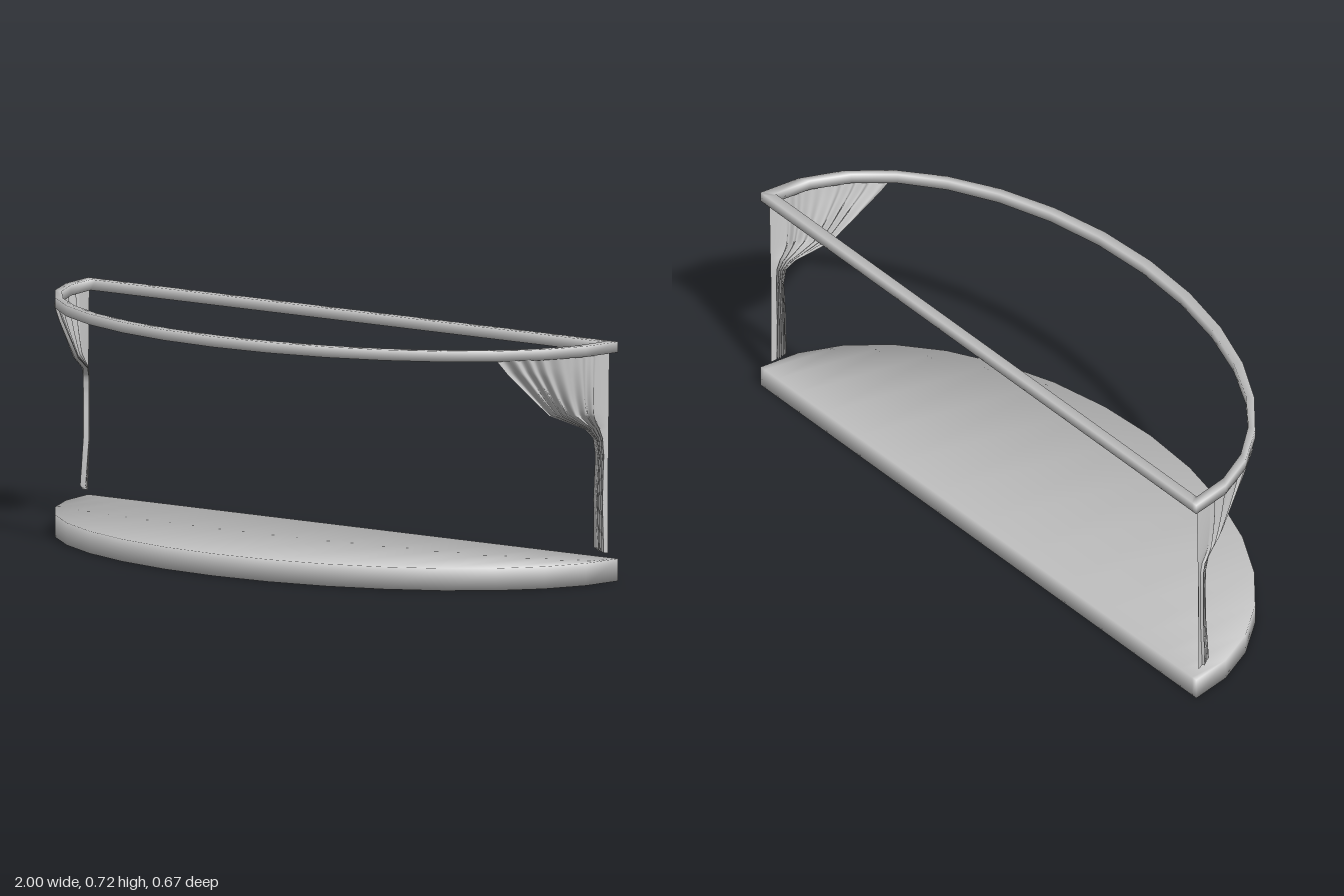
import * as THREE from 'three';

const SEG = 16; // segments along the curved front
const BACK = -0.333;

// Closed half-ellipse loop: curved front, then the straight back at the same x steps
function outline(rx, rz, back) {
  const loop = [];
  for (let i = 0; i < SEG * 2; i++) {
    const a = (i / SEG) * Math.PI;
    const x = rx * Math.cos(a);
    const front = i <= SEG;
    const n = front ? new THREE.Vector2(Math.cos(a) / rx, Math.sin(a) / rz) : new THREE.Vector2(0, -1);
    n.normalize();
    if (i % SEG === 0) n.set(Math.sign(x), -1).normalize(); // back corners
    loop.push({ x, z: front ? back + rz * Math.sin(a) : back, n });
  }
  return loop;
}

// Bands between stacked outlines, with normals shared softly across the edges.
// Each ring: { loop, y, out: +1 outer / -1 inner, up: +1 top / -1 bottom }
function bands(rings, closed, capped) {
  const count = SEG * 2, pos = [], nor = [], index = [];
  for (const { loop, y, out, up } of rings) {
    for (const p of loop) {
      const n = new THREE.Vector3(p.n.x * out, up, p.n.y * out).normalize();
      pos.push(p.x, y, p.z);
      nor.push(n.x, n.y, n.z);
    }
  }
  const quad = (a, b, c, d) => index.push(a, c, b, b, c, d);
  const steps = closed ? rings.length : rings.length - 1;
  for (let k = 0; k < steps; k++) {
    const r0 = k * count, r1 = ((k + 1) % rings.length) * count;
    for (let i = 0; i < count; i++) {
      const j = (i + 1) % count;
      quad(r0 + i, r0 + j, r1 + i, r1 + j);
    }
  }
  if (capped) {
    const top = (rings.length - 1) * count;
    for (let i = 0; i < SEG; i++) {
      const bi = (count - i) % count, bj = count - i - 1;
      quad(top + i, top + i + 1, top + bi, top + bj);
      quad(bi, bj, i, i + 1);
    }
  }
  const geo = new THREE.BufferGeometry();
  geo.setAttribute('position', new THREE.Float32BufferAttribute(pos, 3));
  geo.setAttribute('normal', new THREE.Float32BufferAttribute(nor, 3));
  geo.setIndex(index);
  return geo;
}

// Free edge of the tied-back curtain, from rail to hem: [y, x, z]
const FREE_EDGE = [
  [0.687, 0.83, 0.035], [0.645, 0.842, 0], [0.6, 0.858, -0.045], [0.555, 0.873, -0.09],
  [0.507, 0.892, -0.14], [0.485, 0.915, -0.19], [0.46, 0.942, -0.245], [0.43, 0.958, -0.269],
  [0.38, 0.962, -0.275], [0.25, 0.958, -0.27], [0.107, 0.966, -0.264],
];

function curtain(side) {
  const cols = 80, sub = 3, folds = 6;
  const rows = (FREE_EDGE.length - 1) * sub;
  const pos = [], index = [];
  for (let r = 0; r <= rows; r++) {
    const k = Math.min(Math.floor(r / sub), FREE_EDGE.length - 2);
    const f = r / sub - k;
    const [y, xf, zf] = FREE_EDGE[k].map((v, i) => v + (FREE_EDGE[k + 1][i] - v) * f);
    const open = THREE.MathUtils.clamp((zf + 0.27) / 0.307, 0, 1); // 1 at the rail, 0 when gathered
    const xb = 0.981, zb = -0.315 + 0.007 * (r / rows);
    const dx = xf - xb, dz = zf - zb, len = Math.hypot(dx, dz);
    const amp = 0.009 - 0.003 * open;
    const hem = THREE.MathUtils.smoothstep(r / rows, 0.75, 1);
    for (let c = 0; c <= cols; c++) {
      const u = c / cols;
      const s = Math.pow(u, 0.45 + 0.55 * open);
      // flat strip at the back, then uneven pleats
      const pleat = Math.max(0, u - 0.15) / 0.85;
      const wave = amp * Math.sin((pleat + 0.04 * Math.sin(pleat * 9)) * folds * Math.PI * 2);
      const push = 0.036 * open * Math.sin(Math.PI * s) + wave;
      pos.push(
        side * (xb + dx * s + push * dz / len),
        y - 0.022 * hem * (1 - s * s),
        zb + dz * s - push * dx / len
      );
      if (r < rows && c < cols) {
        const a = r * (cols + 1) + c, b = a + cols + 1;
        if (side > 0) index.push(a, a + 1, b, b, a + 1, b + 1);
        else index.push(a, b, a + 1, b, b + 1, a + 1);
      }
    }
  }
  const geo = new THREE.BufferGeometry();
  geo.setAttribute('position', new THREE.Float32BufferAttribute(pos, 3));
  geo.setIndex(index);
  geo.computeVertexNormals();
  return geo;
}

export function createModel() {
  const group = new THREE.Group();
  const paleGrey = new THREE.MeshStandardMaterial({ color: 0xcccccc, side: THREE.DoubleSide });
  paleGrey.name = 'paleGrey';
  const add = (name, geo) => {
    const mesh = new THREE.Mesh(geo, paleGrey);
    mesh.name = name;
    group.add(mesh);
  };

  // Half-round platform
  const outer = outline(1, 0.667, BACK);
  add('platform', bands([
    { loop: outer, y: 0, out: 1, up: -1 },
    { loop: outer, y: 0.067, out: 1, up: 1 },
  ], false, true));

  // Open rail frame above, same outline
  const inner = outline(0.967, 0.607, BACK + 0.029);
  add('curtainRail', bands([
    { loop: outer, y: 0.685, out: 1, up: -1 },
    { loop: outer, y: 0.717, out: 1, up: 1 },
    { loop: inner, y: 0.717, out: -1, up: 1 },
    { loop: inner, y: 0.685, out: -1, up: -1 },
  ], true, false));

  // Tied-back curtains at the rear corners
  add('leftCurtain', curtain(1));
  add('rightCurtain', curtain(-1));
  return group;
}
